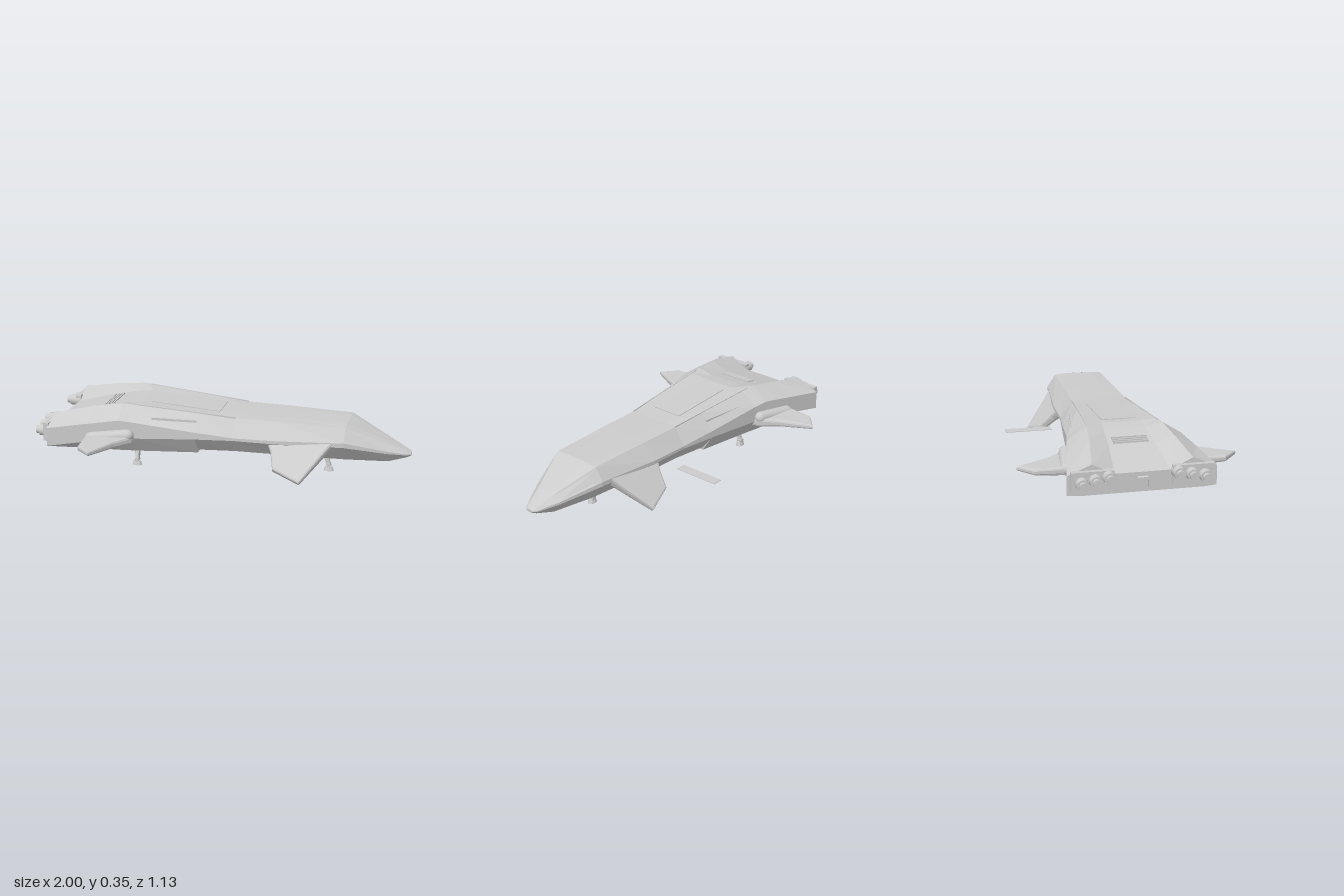
import * as THREE from 'three';

const grey = new THREE.MeshStandardMaterial({ color: 0xcccccc, flatShading: true, side: THREE.DoubleSide });
const smooth = new THREE.MeshStandardMaterial({ color: 0xcccccc });

// Hull stations from tail to nose:
// x, deck height, roof edge z and y, flank z with its upper and lower y, belly edge z and y
const stations = [
  [-0.92, 0.235, 0.25, 0.29, 0.372, 0.24, 0.14, 0.31, 0.135],
  [-0.70, 0.30, 0.215, 0.335, 0.33, 0.27, 0.17, 0.28, 0.115],
  [-0.54, 0.335, 0.195, 0.355, 0.297, 0.29, 0.185, 0.24, 0.104],
  [-0.46, 0.345, 0.185, 0.35, 0.282, 0.28, 0.19, 0.22, 0.10],
  [-0.13, 0.322, 0.163, 0.325, 0.242, 0.238, 0.20, 0.18, 0.105],
  [-0.128, 0.322, 0.163, 0.325, 0.242, 0.238, 0.20, 0.18, 0.122],
  [0.07, 0.308, 0.15, 0.306, 0.215, 0.215, 0.20, 0.155, 0.122],
  [0.30, 0.306, 0.145, 0.304, 0.213, 0.218, 0.20, 0.15, 0.122],
  [0.66, 0.30, 0.135, 0.295, 0.18, 0.225, 0.20, 0.11, 0.112],
  [0.88, 0.203, 0.055, 0.20, 0.092, 0.168, 0.155, 0.05, 0.10],
  [0.975, 0.157, 0.03, 0.155, 0.042, 0.144, 0.138, 0.025, 0.122],
  [0.998, 0.146, 0.016, 0.144, 0.023, 0.14, 0.137, 0.014, 0.13],
];

// Half cross-sections from top centre down to bottom centre
const sections = stations.map(([x, deckY, roofZ, roofY, sideZ, sideY, lowY, bellyZ, bellyY]) => [
  [0, deckY], [roofZ * 0.55, deckY], [roofZ, roofY], [sideZ, sideY], [sideZ, lowY], [bellyZ, bellyY], [0, bellyY],
].map(([z, y]) => new THREE.Vector3(x, y, z)));

function add(parent, name, geometry, material = grey) {
  const mesh = new THREE.Mesh(geometry, material);
  mesh.name = name;
  parent.add(mesh);
  return mesh;
}

function triangles(points) {
  const g = new THREE.BufferGeometry().setFromPoints(points);
  g.computeVertexNormals();
  return g;
}

// Loft mirrored sections into a closed, faceted hull
function hullGeometry() {
  const rings = sections.map((half) => {
    const other = half.slice(1, -1).reverse().map((p) => new THREE.Vector3(p.x, p.y, -p.z));
    return [...half, ...other];
  });
  const out = [];
  const n = rings[0].length;
  for (let i = 0; i < rings.length - 1; i++) {
    for (let j = 0; j < n; j++) {
      const k = (j + 1) % n;
      const a = rings[i][j], b = rings[i][k], c = rings[i + 1][k], d = rings[i + 1][j];
      out.push(a, b, c, a, c, d);
    }
  }
  for (const [ring, sign] of [[rings[0], -1], [rings.at(-1), 1]]) {
    const flat = ring.map((p) => new THREE.Vector2(-p.z, p.y));
    for (const [a, b, c] of THREE.ShapeUtils.triangulateShape(flat, [])) {
      const turn = flat[b].clone().sub(flat[a]).cross(flat[c].clone().sub(flat[a]));
      out.push(ring[a], ...(turn * sign > 0 ? [ring[b], ring[c]] : [ring[c], ring[b]]));
    }
  }
  return triangles(out);
}

// Bevelled fin: outline in (x, span), thinning from root to tip
function finGeometry(outline, span, rootHalf, tipHalf) {
  const shape = new THREE.Shape(outline.map(([x, s]) => new THREE.Vector2(x, s)));
  const g = new THREE.ExtrudeGeometry(shape, {
    depth: 0.8, bevelEnabled: true, bevelThickness: 0.6, bevelSize: 0.012, bevelOffset: -0.012, bevelSegments: 2,
  });
  g.translate(0, 0, -0.4);
  const p = g.attributes.position;
  for (let i = 0; i < p.count; i++) {
    const t = THREE.MathUtils.clamp(p.getY(i) / span, 0, 1);
    p.setZ(i, p.getZ(i) * THREE.MathUtils.lerp(rootHalf, tipHalf, t));
  }
  g.computeVertexNormals();
  return g;
}

// Straight bar between two points
function bar(parent, name, a, b, w, h) {
  const from = new THREE.Vector3(...a), to = new THREE.Vector3(...b);
  const mesh = add(parent, name, new THREE.BoxGeometry(w, h, from.distanceTo(to)));
  mesh.position.copy(from).lerp(to, 0.5);
  mesh.lookAt(to);
}

// Thin pane on the nose facet between section points j and j + 1
function pane(j, u0, u1, v0, v1) {
  const [back, front] = sections.slice(8, 10);
  const point = (u, v) => back[j].clone().lerp(back[j + 1], v).lerp(front[j].clone().lerp(front[j + 1], v), u);
  const a = point(u0, v0), b = point(u0, v1), c = point(u1, v1), d = point(u1, v0);
  const lift = b.clone().sub(a).cross(c.clone().sub(a)).normalize().multiplyScalar(0.003);
  [a, b, c, d].forEach((p) => p.add(lift));
  return triangles([a, b, c, a, c, d]);
}

// Landing leg with a rounded foot
function landingGear(name, top, foot) {
  const gear = new THREE.Group();
  gear.name = name;
  const ankle = [foot[0], 0.03, foot[1]];
  bar(gear, 'strut', top, ankle, 0.018, 0.022);
  bar(gear, 'brace', [top[0] - 0.025, top[1], top[2]], [foot[0] - 0.005, 0.055, foot[1]], 0.008, 0.008);
  const pad = add(gear, 'foot', new THREE.CylinderGeometry(0.015, 0.021, 0.024, 8));
  pad.scale.x = 1.35;
  pad.position.set(foot[0], 0.012, foot[1]);
  const hub = add(gear, 'ankle', new THREE.CylinderGeometry(0.012, 0.012, 0.03, 10), smooth);
  hub.rotation.x = Math.PI / 2;
  hub.position.set(...ankle);
  return gear;
}

// Everything carried on one side of the hull
function sideParts(name) {
  const side = new THREE.Group();
  side.name = name;

  const wing = add(side, 'rearWing', finGeometry(
    [[-0.72, -0.03], [-0.71, 0.06], [-0.70, 0.20], [-0.615, 0.278], [-0.53, 0.11], [-0.46, 0.02], [-0.45, -0.03]], 0.278, 0.025, 0.012));
  wing.rotation.x = Math.PI / 2;
  wing.position.set(0, 0.187, 0.288);

  // Rounded fairing at the wing root
  const root = add(side, 'wingRoot', new THREE.CapsuleGeometry(0.033, 0.20, 4, 12), smooth);
  root.rotation.set(0, 0.17, Math.PI / 2 + 0.1, 'YXZ');
  root.position.set(-0.585, 0.202, 0.313);

  const canard = add(side, 'frontFin', finGeometry(
    [[0.24, 0], [0.28, 0.08], [0.305, 0.18], [0.455, 0.245], [0.52, 0.14], [0.575, 0.05], [0.61, 0]], 0.245, 0.03, 0.016));
  canard.rotation.x = Math.PI * 0.745;
  canard.position.set(0, 0.205, 0.16);

  // Engine block with three nozzles
  const block = add(side, 'engineBlock', new THREE.BoxGeometry(0.03, 0.10, 0.21));
  block.position.set(-0.93, 0.212, 0.25);
  for (let i = 0; i < 3; i++) {
    const z = 0.172 + i * 0.066, y = 0.23 - i * 0.012;
    const body = add(side, 'engine', new THREE.CylinderGeometry(0.03, 0.034, 0.06, 16), smooth);
    body.rotation.z = Math.PI / 2;
    body.position.set(-0.95, y, z);
    const nozzle = add(side, 'nozzle', new THREE.CylinderGeometry(0.021, 0.021, 0.03, 16), smooth);
    nozzle.rotation.z = Math.PI / 2;
    nozzle.position.set(-0.985, y, z);
  }

  bar(side, 'roofRail', [-0.50, 0.35, 0.187], [0.07, 0.307, 0.149], 0.006, 0.01);
  bar(side, 'sideVent', [-0.37, 0.296, 0.236], [-0.13, 0.287, 0.2], 0.008, 0.012);
  add(side, 'windscreen', pane(0, 0.08, 0.92, 0, 0.95));
  add(side, 'sideWindow', pane(2, 0.12, 0.9, 0.15, 0.85));
  side.add(landingGear('rearGear', [-0.475, 0.105, 0.145], [-0.478, 0.166]));
  return side;
}

export function createModel() {
  const model = new THREE.Group();
  model.name = 'spacecraft';
  add(model, 'hull', hullGeometry());

  const right = sideParts('rightSide');
  right.scale.z = -1;
  model.add(sideParts('leftSide'), right);

  // Roof hatch following the forward slope
  const hatch = add(model, 'roofHatch', new THREE.BoxGeometry(0.38, 0.006, 0.18));
  hatch.position.set(-0.22, 0.329, 0);
  hatch.rotation.z = -0.07;

  // Rear deck louvres and tail housing
  for (let i = 0; i < 4; i++) {
    const slat = add(model, 'louvre', new THREE.BoxGeometry(0.008, 0.008, 0.18));
    slat.position.set(-0.68 + i * 0.016, 0.308 + i * 0.0035, 0);
  }
  const tail = add(model, 'tailHousing', new THREE.CylinderGeometry(0.035, 0.05, 0.03, 4));
  tail.rotation.set(Math.PI / 4, 0, Math.PI / 2);
  tail.position.set(-0.915, 0.185, 0);

  model.add(landingGear('noseGear', [0.53, 0.118, 0], [0.556, 0]));

  // Boarding plate floating beside the right flank
  const plate = add(model, 'boardingPlate', new THREE.BoxGeometry(0.058, 0.003, 0.255));
  plate.position.set(0.146, 0.135, -0.382);
  return model;
}
